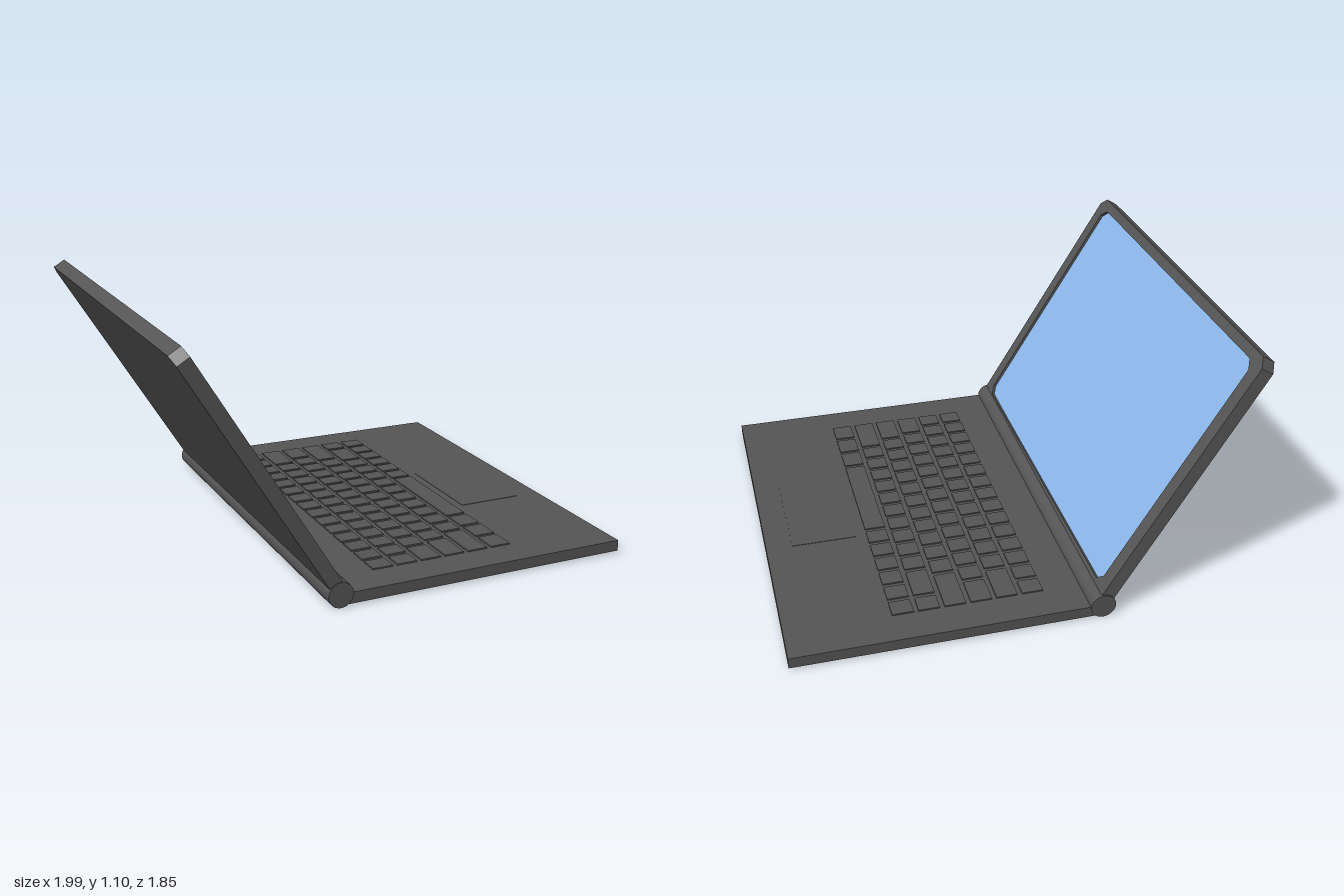
import * as THREE from 'three';

const dark = new THREE.MeshStandardMaterial({ color: 0x555555, flatShading: true });
const barrel = new THREE.MeshStandardMaterial({ color: 0x555555 });
const glass = new THREE.MeshStandardMaterial({ color: 0x8db8ec });

const WIDTH = 1.78, DEPTH = 1.283, DECK = 0.055;

// Rectangle with cut corners, centred on x
function cutRect(target, halfW, y0, y1, cut) {
  const points = [
    [halfW - cut, y0], [halfW, y0 + cut], [halfW, y1 - cut], [halfW - cut, y1],
    [-halfW + cut, y1], [-halfW, y1 - cut], [-halfW, y0 + cut], [-halfW + cut, y0],
  ];
  return target.setFromPoints(points.map(([x, y]) => new THREE.Vector2(x, y)));
}

function addMesh(parent, name, geometry, material) {
  const mesh = new THREE.Mesh(geometry, material);
  mesh.name = name;
  parent.add(mesh);
  return mesh;
}

function box(parent, name, size, position) {
  const mesh = addMesh(parent, name, new THREE.BoxGeometry(...size), dark);
  mesh.position.set(...position);
  return mesh;
}

// Key widths per row, in key units, from the user's left to right
function buildKeyboard() {
  const keyboard = new THREE.Group();
  keyboard.name = 'keyboard';
  const ones = (n) => Array(n).fill(1);
  const rows = [
    ones(15),
    [...ones(13), 2],
    [1.5, ...ones(12), 1.5],
    [1.75, ...ones(11), 2.25],
    [2.25, ...ones(10), 1.75, 1],
    [1.25, 1.25, 1.25, 5.25, 1, 1, 1, 1, 1, 1],
  ];
  const unit = 0.1, pitch = 0.109, gap = 0.02;
  rows.forEach((row, r) => {
    let z = 0.75;
    for (const w of row) {
      const length = w * unit;
      box(keyboard, 'key', [pitch - gap, 0.012, length - gap],
        [0.2 + (r + 0.5) * pitch, DECK, z - length / 2]);
      z -= length;
    }
  });
  return keyboard;
}

// Lid drawn upright in its own plane, then turned to face the keyboard
function buildLid() {
  const lid = new THREE.Group();
  lid.name = 'lid';
  const place = (geometry, offset) =>
    geometry.translate(0, 0, offset).rotateZ(0.008).rotateY(Math.PI / 2);
  const extrude = (shape, depth) =>
    new THREE.ExtrudeGeometry(shape, { depth, bevelEnabled: false });
  const outline = () => cutRect(new THREE.Shape(), WIDTH / 2, 0, 1.193, 0.037);
  const opening = [0.825, 0.05, 1.15, 0.035];

  addMesh(lid, 'lidBack', place(extrude(outline(), 0.044), -0.024), dark);

  const frame = outline();
  frame.holes.push(cutRect(new THREE.Path(), ...opening));
  addMesh(lid, 'screenBezel', place(extrude(frame, 0.014), 0.02), dark);

  const screen = new THREE.ShapeGeometry(cutRect(new THREE.Shape(), ...opening));
  addMesh(lid, 'screen', place(screen, 0.0215), glass);

  lid.position.y = DECK;
  lid.rotation.z = 0.55;
  return lid;
}

export function createModel() {
  const model = new THREE.Group();
  model.name = 'laptop';

  // Origin at the middle of the hinge, slightly turned about the vertical
  const body = new THREE.Group();
  body.name = 'body';
  body.position.set(-0.32, 0, -0.017);
  body.rotation.y = -0.0415;
  model.add(body);

  // Base slab, palm rest pad and keys
  box(body, 'base', [DEPTH, DECK - 0.008, WIDTH], [DEPTH / 2, (DECK + 0.008) / 2, 0]);
  box(body, 'trackpad', [0.285, 0.004, 0.455], [1.028, DECK, 0.05]);
  body.add(buildKeyboard());

  // Hinge barrel along the back edge
  const hinge = new THREE.CylinderGeometry(0.053, 0.053, WIDTH + 0.01, 24).rotateX(Math.PI / 2);
  addMesh(body, 'hinge', hinge, barrel).position.y = 0.053;

  body.add(buildLid());
  return model;
}
